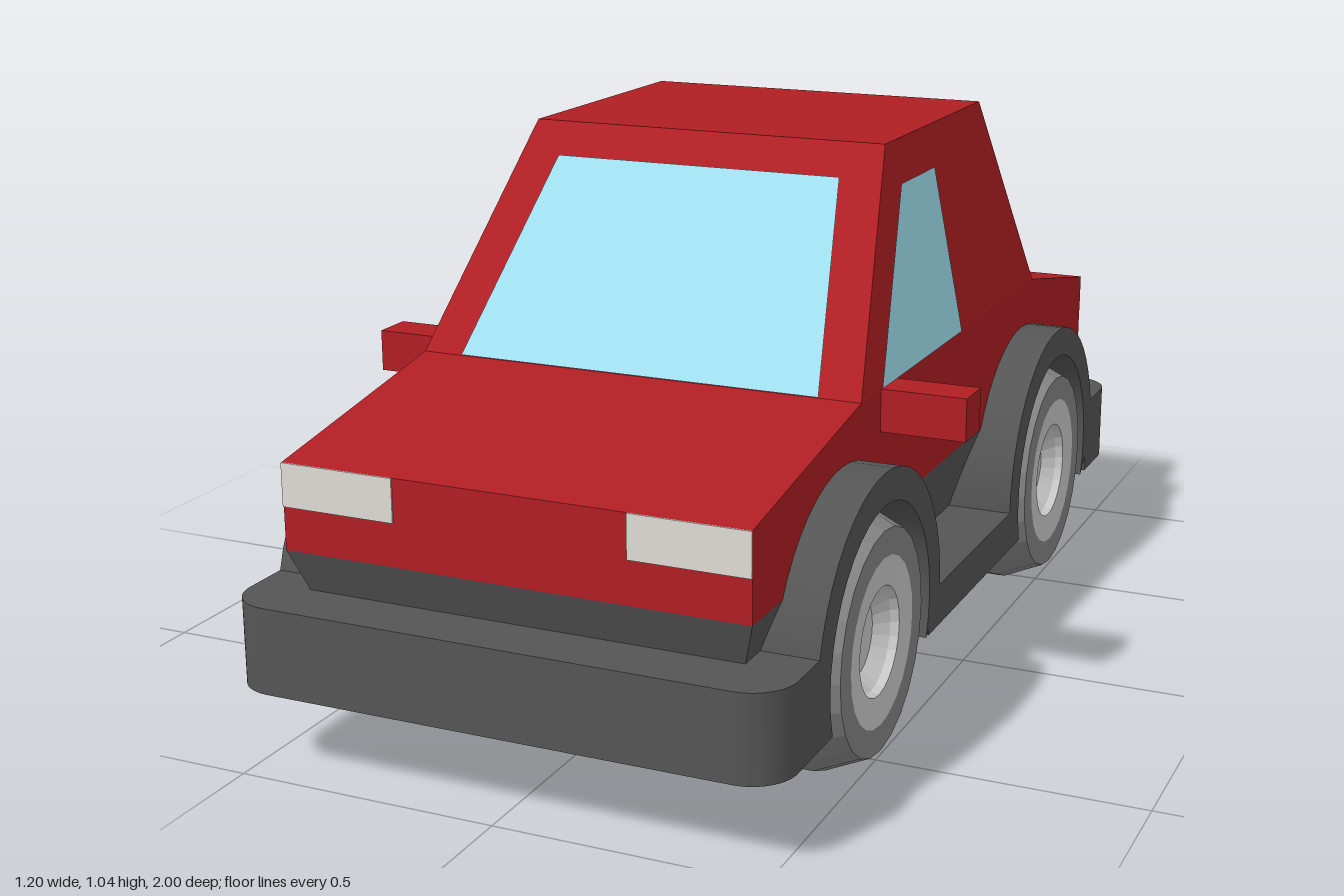
import * as THREE from 'three';
import { toCreasedNormals } from 'three/addons/utils/BufferGeometryUtils.js';

const paint = (color, opts = {}) => {
  const m = new THREE.MeshStandardMaterial(opts);
  m.color.set(color);
  return m;
};

// Stacked rectangular sections: [y, half width, front z, back z]
function loft(sections) {
  const pos = [], index = [];
  for (const [y, w, f, b] of sections) pos.push(w, y, f, w, y, b, -w, y, b, -w, y, f);
  for (let s = 0; s < sections.length - 1; s++) {
    for (let i = 0; i < 4; i++) {
      const a = s * 4 + i, b = s * 4 + (i + 1) % 4;
      index.push(a, b, b + 4, a, b + 4, a + 4);
    }
  }
  const t = (sections.length - 1) * 4;
  index.push(0, 2, 1, 0, 3, 2, t, t + 1, t + 2, t, t + 2, t + 3);
  const g = new THREE.BufferGeometry();
  g.setAttribute('position', new THREE.Float32BufferAttribute(pos, 3));
  g.setIndex(index);
  const flat = g.toNonIndexed();
  flat.computeVertexNormals();
  return flat;
}

// Flat four-cornered panel, counter-clockwise seen from outside, lifted off the surface
function panel(corners) {
  const p = corners.map((c) => new THREE.Vector3(...c));
  const n = p[1].clone().sub(p[0]).cross(p[2].clone().sub(p[0])).normalize();
  p.forEach((v) => v.addScaledVector(n, 0.003));
  const g = new THREE.BufferGeometry().setFromPoints([p[0], p[1], p[2], p[0], p[2], p[3]]);
  g.computeVertexNormals();
  return g;
}

export function createModel() {
  const car = new THREE.Group();
  car.name = 'car';
  const red = paint(0xb01e23), trim = paint(0x555555), tyreMat = paint(0x858585, { flatShading: true });
  const rimMat = paint(0xbcbcbc, { flatShading: true }), mirrorMat = paint(0x999999);
  const glass = paint(0xa0e0f0, { side: THREE.DoubleSide });
  const lampMat = paint(0xe0dcd8), tailMat = paint(0xc88068);

  const add = (name, geometry, material, parent = car) => {
    const mesh = new THREE.Mesh(geometry, material);
    mesh.name = name;
    parent.add(mesh);
    return mesh;
  };
  const box = (name, w, h, d, x, y, z, material) =>
    add(name, new THREE.BoxGeometry(w, h, d), material).position.set(x, y, z);

  // Painted body with cabin, and the tapered underbody
  add('body', loft([
    [0.4, 0.44, 0.92, -1], [0.56, 0.44, 0.92, -1],
    [0.64, 0.44, 0.44, -0.6], [1.04, 0.36, 0.12, -0.44],
  ]), red);
  add('underbody', loft([[0.2, 0.378, 0.845, -0.865], [0.4, 0.44, 0.92, -1]]), trim);
  box('floor', 0.88, 0.08, 1.62, 0, 0.2, 0, trim);
  box('sill', 1.04, 0.08, 0.56, 0, 0.2, 0, trim);

  // Bumpers with rounded outer corners
  const r = 0.08;
  const plan = new THREE.Shape();
  plan.moveTo(-0.52, 0.8);
  plan.lineTo(0.52, 0.8);
  plan.lineTo(0.52, 1 - r);
  plan.absarc(0.52 - r, 1 - r, r, 0, Math.PI / 2);
  plan.lineTo(-0.52 + r, 1);
  plan.absarc(-0.52 + r, 1 - r, r, Math.PI / 2, Math.PI);
  const bumperGeo = toCreasedNormals(
    new THREE.ExtrudeGeometry(plan, { depth: 0.16, bevelEnabled: false, curveSegments: 8 })
      .rotateX(Math.PI / 2).translate(0, 0.32, 0), 0.6);
  add('frontBumper', bumperGeo, trim);
  add('rearBumper', bumperGeo, trim).rotation.y = Math.PI;

  // Wheel arch outline around the axle
  const outer = 0.31, inner = 0.25, drop = -0.08;
  const dip = Math.asin(drop / inner);
  const arch = new THREE.Shape();
  arch.moveTo(outer, drop);
  arch.absarc(0, 0, outer, 0, Math.PI);
  arch.lineTo(-outer, drop);
  arch.absarc(0, 0, inner, Math.PI - dip, dip, true);
  const archGeo = toCreasedNormals(
    new THREE.ExtrudeGeometry(arch, { depth: 0.15, bevelEnabled: false, curveSegments: 12 })
      .rotateY(Math.PI / 2).translate(0.37, 0, 0), 0.6);

  // Wheel profiles: radius against distance along the axle
  const turned = (points) => new THREE.LatheGeometry(
    points.map(([rad, x]) => new THREE.Vector2(rad, x)), 24).rotateZ(-Math.PI / 2);
  const tyreGeo = turned([[0, 0.28], [0.24, 0.28], [0.24, 0.44], [0.205, 0.52], [0.155, 0.52]]);
  const rimGeo = turned([[0.155, 0.52], [0.1, 0.515], [0.095, 0.5], [0.07, 0.475], [0, 0.475]]);

  for (const side of [1, -1]) {
    for (const z of [0.53, -0.53]) {
      const corner = new THREE.Group();
      corner.name = (z > 0 ? 'front' : 'rear') + (side > 0 ? 'Left' : 'Right') + 'Wheel';
      corner.position.set(0, 0.24, z);
      corner.rotation.y = side > 0 ? 0 : Math.PI;
      add('wheelArch', archGeo, trim, corner);
      add('tyre', tyreGeo, tyreMat, corner);
      add('rim', rimGeo, rimMat, corner);
      car.add(corner);
    }

    // Side window, following the inward lean of the cabin
    const lean = (z, y) => [side * (0.44 - 0.2 * (y - 0.64)), y, z];
    const pane = [lean(0.34, 0.64), lean(-0.11, 0.64), lean(-0.11, 0.96), lean(0.08, 0.96)];
    add('sideWindow', panel(side > 0 ? pane : pane.reverse()), glass);

    // Door mirror and lamps
    box('doorMirror', 0.18, 0.08, 0.08, side * 0.51, 0.6, 0.3, red);
    box('mirrorGlass', 0.155, 0.076, 0.004, side * 0.52, 0.6, 0.26, mirrorMat);
    box('headlight', 0.22, 0.08, 0.006, side * 0.33, 0.52, 0.92, lampMat);
    box('tailLight', 0.22, 0.08, 0.006, side * 0.33, 0.52, -0.999, tailMat);
  }

  // Windscreen and rear window on the sloping cabin faces
  const front = (x, y) => [x, y, 0.44 - 0.8 * (y - 0.64)];
  const back = (x, y) => [x, y, -0.6 + 0.4 * (y - 0.64)];
  add('windscreen', panel([front(-0.36, 0.64), front(0.36, 0.64), front(0.29, 0.98), front(-0.29, 0.98)]), glass);
  add('rearWindow', panel([back(0.345, 0.71), back(-0.345, 0.71), back(-0.295, 0.955), back(0.295, 0.955)]), glass);

  return car;
}
